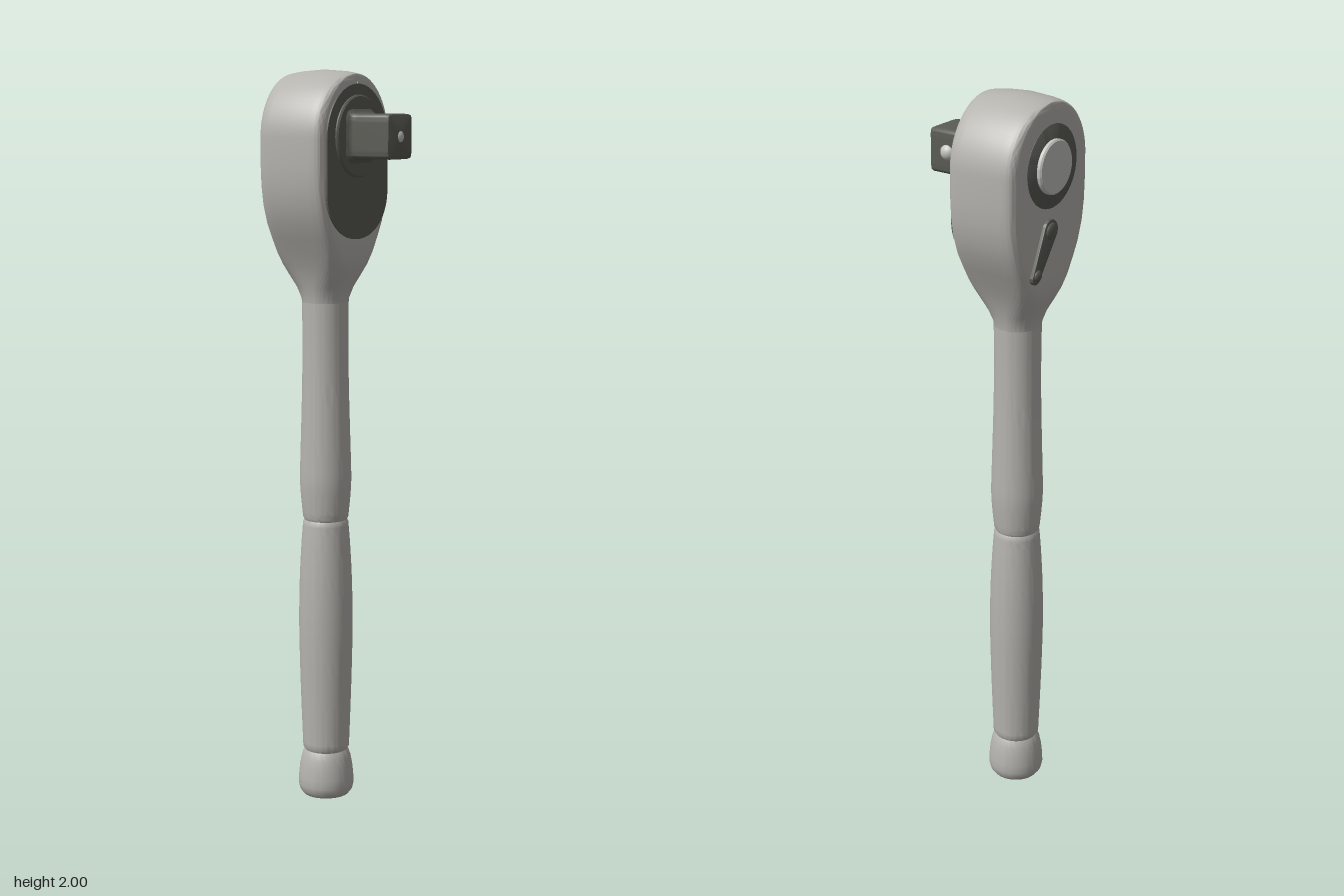
import * as THREE from 'three';
import { toCreasedNormals } from 'three/addons/utils/BufferGeometryUtils.js';

const AXIS = -0.062;   // x of the handle axis
const DRIVE_Y = 1.828; // height of the drive axis

const steel = new THREE.MeshStandardMaterial({ color: 0xb5b3ae });
steel.name = 'satin steel';
const dark = new THREE.MeshStandardMaterial({ color: 0x5a5b54 });
dark.name = 'dark steel';
const bright = new THREE.MeshStandardMaterial({ color: 0xc2c2be });
bright.name = 'bright steel';

// Skins superellipse sections; row = [y, half x, half z, exponent], exponent 1 is round, near 0 square.
function loft(rows, warp = (p) => p, n = 96) {
  const pos = [], index = [];
  const pow = (v, e) => Math.sign(v) * Math.abs(v) ** e;
  rows.forEach(([y, d, w, e], r) => {
    for (let i = 0; i <= n; i++) {
      const t = (i / n) * Math.PI * 2;
      const p = warp(new THREE.Vector3(d * pow(Math.cos(t), e), y, w * pow(Math.sin(t), e)), d, e);
      pos.push(p.x, p.y, p.z);
      if (r < rows.length - 1 && i < n) {
        const a = r * (n + 1) + i, b = a + n + 1;
        index.push(a, b, a + 1, b, b + 1, a + 1);
      }
    }
  });
  const g = new THREE.BufferGeometry();
  g.setAttribute('position', new THREE.Float32BufferAttribute(pos, 3));
  g.setIndex(index);
  return toCreasedNormals(g, 0.65);
}

// Turned part from [radius, height] points.
function turned(points, segments = 64) {
  return toCreasedNormals(new THREE.LatheGeometry(points.map(([r, y]) => new THREE.Vector2(r, y)), segments), 0.6);
}

export function createModel() {
  const model = new THREE.Group();
  const add = (name, geometry, material, x = 0, y = 0, z = 0) => {
    const m = new THREE.Mesh(geometry, material);
    m.name = name;
    m.position.set(x, y, z);
    model.add(m);
    return m;
  };

  // Handle: flared butt, swelling grip, groove and shaft
  add('buttCap', turned([[0, 0.003], [0.05, 0.003], [0.064, 0.008], [0.073, 0.02], [0.077, 0.037],
    [0.076, 0.06], [0.073, 0.09], [0.068, 0.115], [0.063, 0.13], [0.059, 0.137]]), steel, AXIS);
  const grip = new THREE.SplineCurve([[0.064, 0.145], [0.068, 0.25], [0.072, 0.38], [0.074, 0.5],
    [0.072, 0.62], [0.067, 0.72], [0.062, 0.785]].map(([r, y]) => new THREE.Vector2(r, y)));
  add('grip', turned([[0.059, 0.136], ...grip.getPoints(30).map((p) => [p.x, p.y]), [0.058, 0.793]]), steel, AXIS);
  const shaft = new THREE.SplineCurve([[0.062, 0.8], [0.067, 0.85], [0.07, 0.9], [0.069, 0.96], [0.066, 1.06],
    [0.063, 1.18], [0.062, 1.3], [0.063, 1.4]].map(([r, y]) => new THREE.Vector2(r, y)));
  add('shaft', turned([[0.058, 0.792], ...shaft.getPoints(35).map((p) => [p.x, p.y])]), steel, AXIS);

  // Head: round neck spreading into a flat-faced teardrop with a crowned rim
  const rows = [[1.38, 0.062, 0.062, 1], [1.4, 0.064, 0.064, 1], [1.43, 0.072, 0.071, 0.8],
    [1.46, 0.086, 0.08, 0.6], [1.49, 0.097, 0.092, 0.45], [1.52, 0.101, 0.106, 0.33],
    [1.56, 0.102, 0.126, 0.25], [1.6, 0.102, 0.146, 0.2], [1.65, 0.102, 0.163, 0.18],
    [1.7, 0.102, 0.172, 0.18], [1.75, 0.102, 0.175, 0.18]];
  for (let i = 0; i <= 18; i++) {
    const a = (i / 18) * Math.PI / 2;
    rows.push([1.825 + 0.175 * Math.sin(a), 0.102 - 0.004 * (i / 18) ** 8, 0.175 * Math.cos(a), 0.18]);
  }
  const crown = (p, d, e) => {
    const u = (p.x / d) ** 2;
    p.z *= 1 - 0.06 * u * (1 - e);
    p.y -= 0.011 * u * Math.max(0, (p.y - 1.825) / 0.175);
    return p;
  };
  add('head', loft(rows, crown), steel, AXIS);

  // Cover plate on the drive side
  const cover = new THREE.Shape();
  cover.moveTo(0.143, 1.82);
  cover.absarc(0, 1.82, 0.143, 0, Math.PI, false);
  cover.lineTo(-0.143, 1.68);
  cover.bezierCurveTo(-0.14, 1.61, -0.08, 1.56, 0, 1.56);
  cover.bezierCurveTo(0.08, 1.56, 0.14, 1.61, 0.143, 1.68);
  const coverGeo = new THREE.ExtrudeGeometry(cover, { depth: 0.008, bevelEnabled: false, curveSegments: 32 });
  add('coverPlate', coverGeo.rotateY(Math.PI / 2), dark, 0.035);

  // Drive: round flange, filleted square and detent balls
  const flange = turned([[0, 0.035], [0.107, 0.035], [0.107, 0.047], [0.103, 0.051], [0, 0.051]]);
  add('driveFlange', flange.rotateZ(-Math.PI / 2), dark, 0, DRIVE_Y);
  const square = loft([[0.045, 0.08, 0.08, 0.45], [0.051, 0.07, 0.07, 0.35], [0.057, 0.063, 0.063, 0.25],
    [0.066, 0.059, 0.059, 0.2], [0.08, 0.058, 0.058, 0.18], [0.166, 0.058, 0.058, 0.18],
    [0.172, 0.056, 0.056, 0.18], [0.175, 0.051, 0.051, 0.18], [0.175, 0, 0, 0.18]]);
  add('squareDrive', square.rotateZ(-Math.PI / 2), dark, 0, DRIVE_Y);
  const ball = new THREE.SphereGeometry(0.023, 32, 20);
  add('tipPin', ball, bright, 0.157, DRIVE_Y, 0);
  add('detentBall', ball, bright, 0.12, DRIVE_Y, -0.047);

  // Release button with its dark collar on the other side
  const collar = turned([[0, 0.15], [0.107, 0.15], [0.107, 0.165], [0.104, 0.167], [0, 0.167]]);
  add('buttonCollar', collar.rotateZ(Math.PI / 2), dark, 0, DRIVE_Y);
  const button = turned([[0.07, 0.155], [0.07, 0.175], [0.066, 0.179], [0.03, 0.179], [0, 0.177]]);
  add('releaseButton', button.rotateZ(Math.PI / 2), bright, 0, DRIVE_Y);

  // Reversing lever: tapered arm with a knob at each end, tilted toward the back
  const arm = new THREE.Shape();
  arm.absarc(0, 0, 0.027, 0, Math.PI, false);
  arm.absarc(0, -0.125, 0.014, Math.PI, Math.PI * 2, false);
  const armGeo = new THREE.ExtrudeGeometry(arm, {
    depth: 0.008, bevelThickness: 0.003, bevelSize: 0.003, bevelSegments: 2, curveSegments: 16,
  });
  const lever = new THREE.Group();
  lever.name = 'reversingLever';
  lever.position.set(-0.17, 1.665, -0.012);
  lever.rotation.x = 0.52;
  const armMesh = new THREE.Mesh(toCreasedNormals(armGeo.rotateY(Math.PI / 2), 0.6), dark);
  armMesh.name = 'leverArm';
  lever.add(armMesh);
  [[0, 0.022], [-0.118, 0.015]].forEach(([y, r]) => {
    const knob = new THREE.Mesh(new THREE.SphereGeometry(r, 24, 16), dark);
    knob.name = 'leverKnob';
    knob.scale.x = 0.009 / r;
    knob.position.set(-0.002, y, 0);
    lever.add(knob);
  });
  model.add(lever);

  return model;
}
